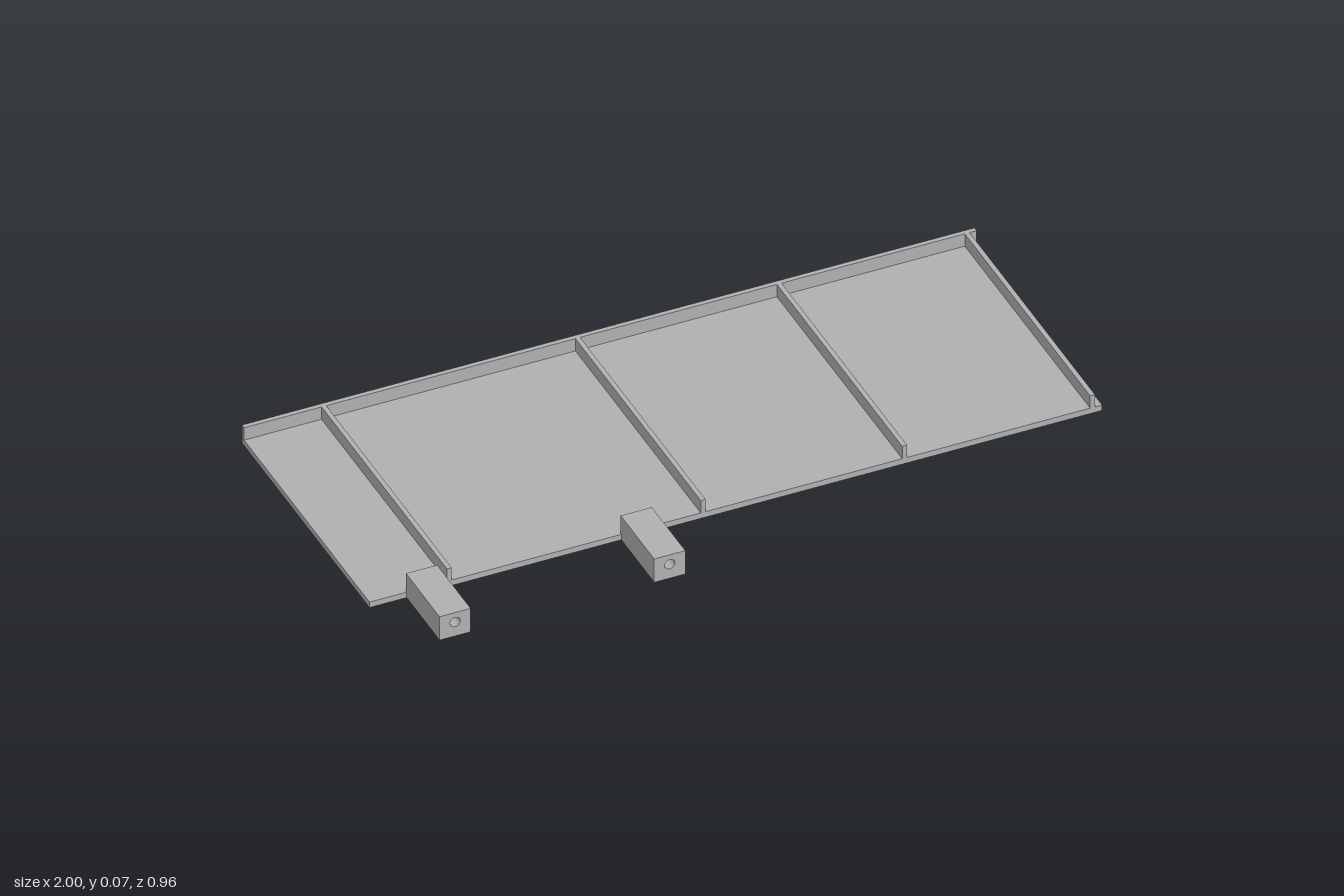
import * as THREE from 'three';

const grey = new THREE.MeshStandardMaterial({ color: 0xb2b2b2 });
grey.name = 'plain grey';

const BACK = -0.48, FRONT = 0.283, FLOOR = 0.017, TOP = 0.055, WALL = 0.013;

// Box given by its minimum and maximum corners
function box(name, x0, x1, y0, y1, z0, z1) {
  const mesh = new THREE.Mesh(new THREE.BoxGeometry(x1 - x0, y1 - y0, z1 - z0), grey);
  mesh.position.set((x0 + x1) / 2, (y0 + y1) / 2, (z0 + z1) / 2);
  mesh.name = name;
  return mesh;
}

// Length of square bar with a round bore running through it
function boredBar(name, radius, z0, z1) {
  const w = 0.0425, h = 0.072;
  const shape = new THREE.Shape([
    new THREE.Vector2(-w, 0), new THREE.Vector2(w, 0),
    new THREE.Vector2(w, h), new THREE.Vector2(-w, h),
  ]);
  const hole = new THREE.Path();
  hole.absarc(0, 0.043, radius, 0, Math.PI * 2, true);
  shape.holes.push(hole);
  const geometry = new THREE.ExtrudeGeometry(shape, { depth: z1 - z0, bevelEnabled: false, curveSegments: 20 });
  const mesh = new THREE.Mesh(geometry, grey);
  mesh.position.z = z0;
  mesh.name = name;
  return mesh;
}

export function createModel() {
  const model = new THREE.Group();
  model.name = 'ribbedTray';

  // Floor plate and upright wall along the back
  model.add(box('floorPlate', -1, 1, 0, FLOOR, BACK, FRONT));
  model.add(box('backWall', -1, 1, FLOOR, TOP, BACK, BACK + WALL));

  // Dividing ribs
  [-0.782, -0.089, 0.461, 0.974].forEach((x) => {
    model.add(box('rib', x - WALL / 2, x + WALL / 2, FLOOR, TOP, BACK + WALL, FRONT));
  });

  // Hinge blocks: narrow bore at the front, wider counterbore at the back
  [-0.856, -0.27].forEach((x) => {
    const block = new THREE.Group();
    block.name = 'hingeBlock';
    block.add(boredBar('counterboredEnd', 0.022, 0.279, 0.38));
    block.add(boredBar('narrowBoreEnd', 0.014, 0.38, 0.48));
    block.position.x = x;
    model.add(block);
  });

  return model;
}
